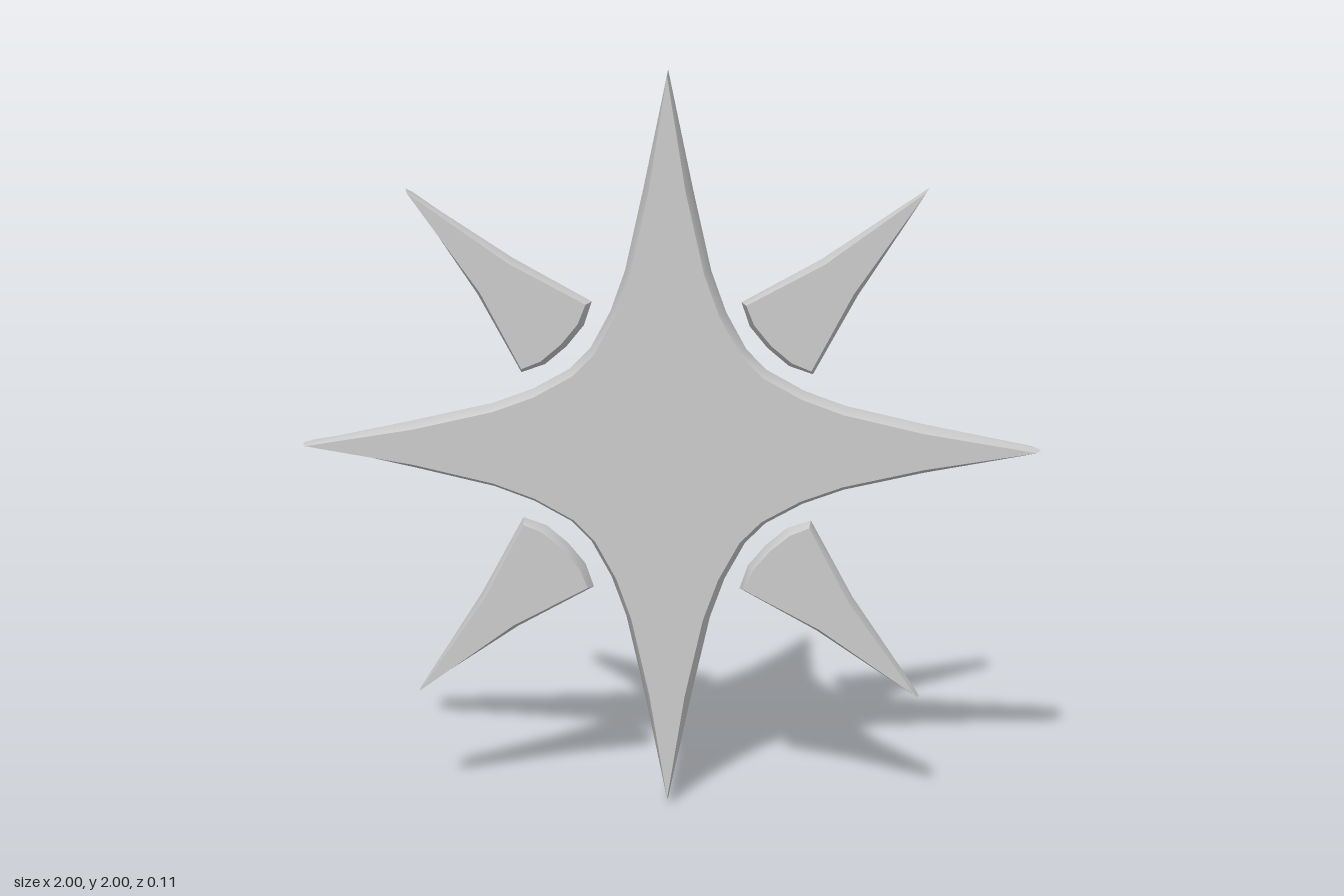
import * as THREE from 'three';
import { toCreasedNormals } from 'three/addons/utils/BufferGeometryUtils.js';

const V = (x, y) => new THREE.Vector2(x, y);

// Move every outline point inward along the average of its two edge normals.
function inset(points, amount) {
  const n = points.length;
  const inward = (a, b) => V(a.y - b.y, b.x - a.x).normalize();
  return points.map((p, i) => {
    const a = inward(points[(i + n - 1) % n], p);
    const b = inward(p, points[(i + 1) % n]);
    return p.clone().addScaledVector(a.add(b).normalize(), amount);
  });
}

// Flat plate whose rim rises to a ridge half way through its thickness.
function ridgedPlate(outline, half, bevel) {
  const n = outline.length;
  const face = inset(outline, bevel);
  const position = [];
  [[face, half], [outline, 0], [face, -half]].forEach(([ring, z]) =>
    ring.forEach((p) => position.push(p.x, p.y, z)));
  const index = [];
  for (let r = 0; r < 2; r++) {
    for (let i = 0; i < n; i++) {
      const j = (i + 1) % n;
      const a = r * n + i, b = r * n + j, c = a + n, d = b + n;
      index.push(a, c, b, b, c, d);
    }
  }
  THREE.ShapeUtils.triangulateShape(face, []).forEach(([a, b, c]) => {
    index.push(a, b, c, 2 * n + a, 2 * n + c, 2 * n + b);
  });
  const geometry = new THREE.BufferGeometry();
  geometry.setAttribute('position', new THREE.Float32BufferAttribute(position, 3));
  geometry.setIndex(index);
  return toCreasedNormals(geometry, THREE.MathUtils.degToRad(42));
}

export function createModel() {
  const group = new THREE.Group();
  const material = new THREE.MeshStandardMaterial({ color: 0xcccccc });

  // Four-pointed star: half of one concave side, mirrored, turned four times
  const half = [V(1, 0), V(0.69, 0.066), V(0.475, 0.115), V(0.365, 0.155), V(0.265, 0.21)];
  const side = [...half, ...half.slice(1).reverse().map((p) => V(p.y, p.x))];
  const starOutline = [];
  for (let k = 0; k < 4; k++) {
    side.forEach((p) => starOutline.push(p.clone().rotateAround(V(0, 0), (k * Math.PI) / 2)));
  }
  const star = new THREE.Mesh(ridgedPlate(starOutline, 0.055, 0.018), material);
  star.name = 'mainStar';
  star.position.y = 1;
  group.add(star);

  // Detached diagonal rays: pointed outside, rounded towards the star
  const rayOutline = [
    V(0.69, 0.695), V(0.41, 0.507), V(0.2, 0.392), V(0.222, 0.328), V(0.27, 0.27),
    V(0.328, 0.222), V(0.392, 0.2), V(0.507, 0.41),
  ];
  const rayGeometry = ridgedPlate(rayOutline, 0.041, 0.014);
  ['upperLeftRay', 'upperRightRay', 'lowerRightRay', 'lowerLeftRay'].forEach((name, k) => {
    const ray = new THREE.Mesh(rayGeometry, material);
    ray.name = name;
    ray.position.set(-0.004, 1, 0.005);
    ray.rotation.z = (k * Math.PI) / 2;
    group.add(ray);
  });
  return group;
}
